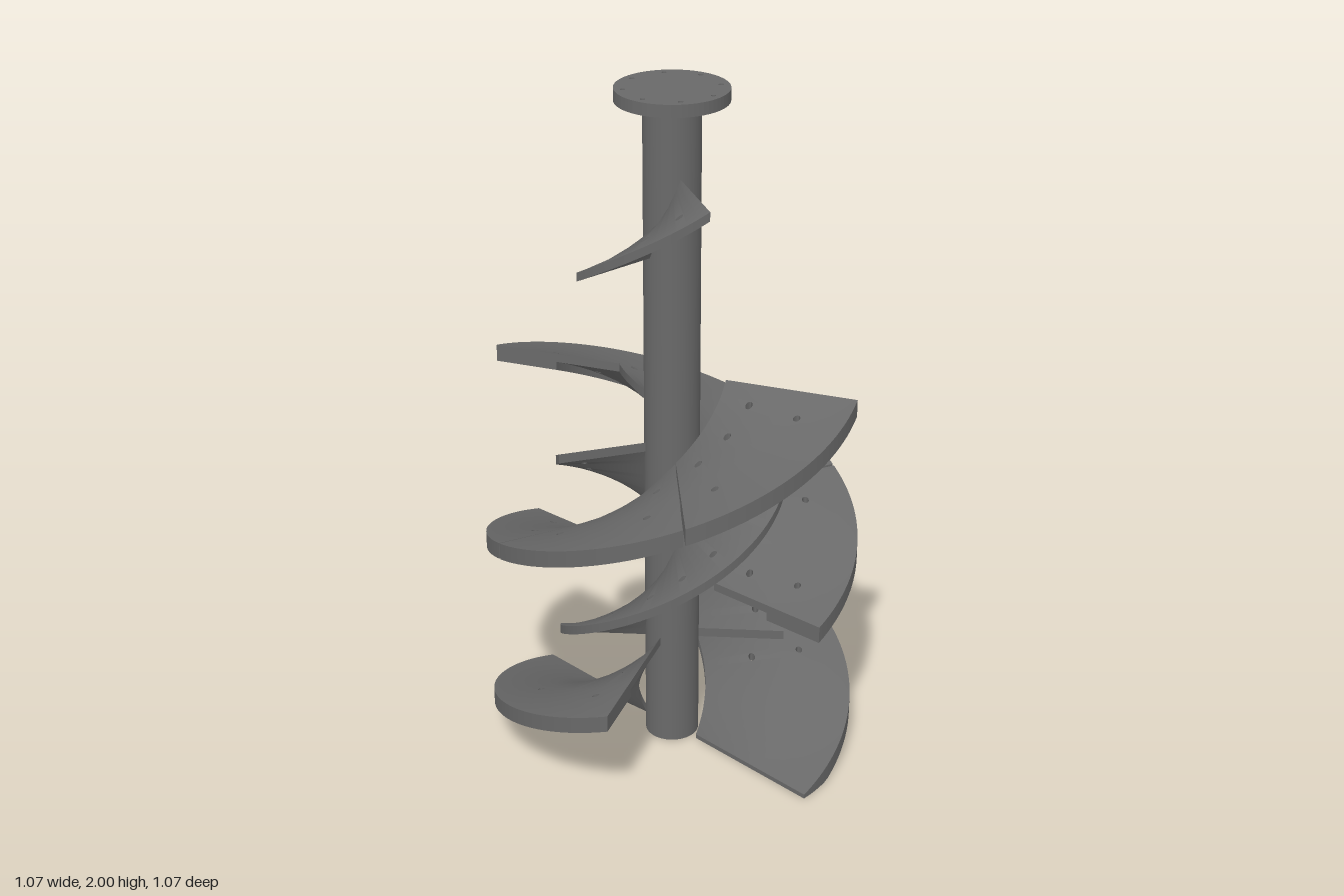
import * as THREE from 'three';
import { mergeGeometries } from 'three/addons/utils/BufferGeometryUtils.js';

const DEG = Math.PI / 180;
const RISE = 0.0031 / DEG; // helix rise per radian

// Plan-view angle a runs counter-clockwise from +x when seen from above
const radial = (a) => new THREE.Vector3(Math.cos(a), 0, -Math.sin(a));
const tangent = (a) => new THREE.Vector3(-Math.sin(a), 0, -Math.cos(a));

// Bend a flat strip (x = radius, y = angle, z = height) onto the helix
function bendToHelix(geo, aTop, yTop, thickness) {
  const p = geo.attributes.position, n = geo.attributes.normal;
  const v = new THREE.Vector3(), m = new THREE.Vector3();
  for (let i = 0; i < p.count; i++) {
    const r = p.getX(i), a = p.getY(i), nz = n.getZ(i);
    const y = yTop + (a - aTop) * RISE - thickness + p.getZ(i);
    v.copy(radial(a)).multiplyScalar(r);
    p.setXYZ(i, v.x, Math.max(0, y), v.z);
    if (Math.abs(nz) > 0.5) {
      // helicoid normal on the upper and lower faces
      m.copy(tangent(a)).multiplyScalar(-RISE / r);
      m.y = 1;
      m.normalize().multiplyScalar(Math.sign(nz));
    } else {
      m.copy(radial(a)).multiplyScalar(n.getX(i)).addScaledVector(tangent(a), n.getY(i));
      m.normalize();
    }
    n.setXYZ(i, m.x, m.y, m.z);
  }
  return geo;
}

// Helical plate made of narrow strips; holes = [[strip index, radius], ...]
function helicalPlate({ aTop, span, yTop, r0, r1, thickness, strips, holes = [] }) {
  const step = span * DEG / strips, top = aTop * DEG, parts = [];
  for (let i = 0; i < strips; i++) {
    const hi = top - i * step, lo = hi - step, mid = (hi + lo) / 2;
    const shape = new THREE.Shape([
      [r0, lo], [r1, lo], [r1, mid], [r1, hi], [r0, hi], [r0, mid],
    ].map(([x, y]) => new THREE.Vector2(x, y)));
    for (const [index, r] of holes) {
      if (index !== i || r < r0 || r > r1) continue;
      const path = new THREE.Path();
      path.absellipse(r, mid, 0.01, 0.01 / r, 0, Math.PI * 2, true);
      shape.holes.push(path);
    }
    const strip = new THREE.ExtrudeGeometry(shape, {
      depth: thickness, bevelEnabled: false, curveSegments: 12,
    });
    parts.push(bendToHelix(strip, top, yTop, thickness));
  }
  return mergeGeometries(parts);
}

export function createModel() {
  const model = new THREE.Group();
  const steel = new THREE.MeshStandardMaterial({ color: 0x696969 });
  steel.name = 'dark steel';

  const add = (name, geometry, parent = model) => {
    const mesh = new THREE.Mesh(geometry, steel);
    mesh.name = name;
    parent.add(mesh);
    return mesh;
  };

  // Central shaft
  add('shaft', new THREE.CylinderGeometry(0.079, 0.079, 1.97, 48).translate(0, 0.985, 0));

  // Top flange with a ring of bolt holes
  const disc = new THREE.Shape();
  disc.absarc(0, 0, 0.155, 0, Math.PI * 2);
  for (let i = 0; i < 8; i++) {
    const a = i * Math.PI / 4, hole = new THREE.Path();
    hole.absarc(0.131 * Math.cos(a), 0.131 * Math.sin(a), 0.007, 0, Math.PI * 2, true);
    disc.holes.push(hole);
  }
  const flange = new THREE.ExtrudeGeometry(disc, { depth: 0.035, bevelEnabled: false, curveSegments: 32 });
  add('flange', flange.rotateX(-Math.PI / 2).translate(0, 1.965, 0));

  const SPAN = 66.3, PITCH = 67, STRIPS = 13;
  const innerHoles = [[2, 0.25], [6, 0.25], [10, 0.25]];
  const outerHoles = [...innerHoles, [2, 0.4], [10, 0.4]];

  // Thin plate carrying a thicker outer rim
  const steppedFlight = (name, options, parent) => {
    const flight = new THREE.Group();
    flight.name = name;
    add('flightPlate', helicalPlate({ ...options, r1: 0.35, thickness: 0.025 }), flight);
    add('flightRim', helicalPlate({ ...options, r0: 0.35, thickness: 0.05 }), flight);
    parent.add(flight);
  };

  // Two identical sets of flights, half a turn apart
  for (let side = 0; side < 2; side++) {
    const set = new THREE.Group();
    set.name = side ? 'secondFlightSet' : 'firstFlightSet';
    set.rotation.y = side * Math.PI;
    model.add(set);
    for (let k = 0; k < 3; k++) {
      const turn = k * PITCH, drop = turn * DEG * RISE;
      steppedFlight('outerFlight', {
        aTop: 105.5 - turn, span: SPAN, yTop: 1.18 - drop,
        r0: 0.158, r1: 0.535, strips: STRIPS, holes: outerHoles,
      }, set);
      add('innerFlight', helicalPlate({
        aTop: 142.5 - turn, span: PITCH, yTop: 0.97 - drop,
        r0: 0.075, r1: 0.33, thickness: 0.028, strips: STRIPS, holes: innerHoles,
      }), set);
    }
    // Long cutting flight that runs down to the tip
    steppedFlight('bottomFlight', {
      aTop: 16, span: 115, yTop: 0.37, r0: 0.1, r1: 0.532, strips: 22,
      holes: [[2, 0.25], [6, 0.25], [10, 0.25], [2, 0.4], [10, 0.4]],
    }, set);
  }

  // Single short flight near the top of the shaft
  add('upperFlight', helicalPlate({
    aTop: 232.5, span: SPAN, yTop: 1.77, r0: 0.075, r1: 0.33,
    thickness: 0.025, strips: STRIPS, holes: innerHoles,
  }));

  return model;
}
